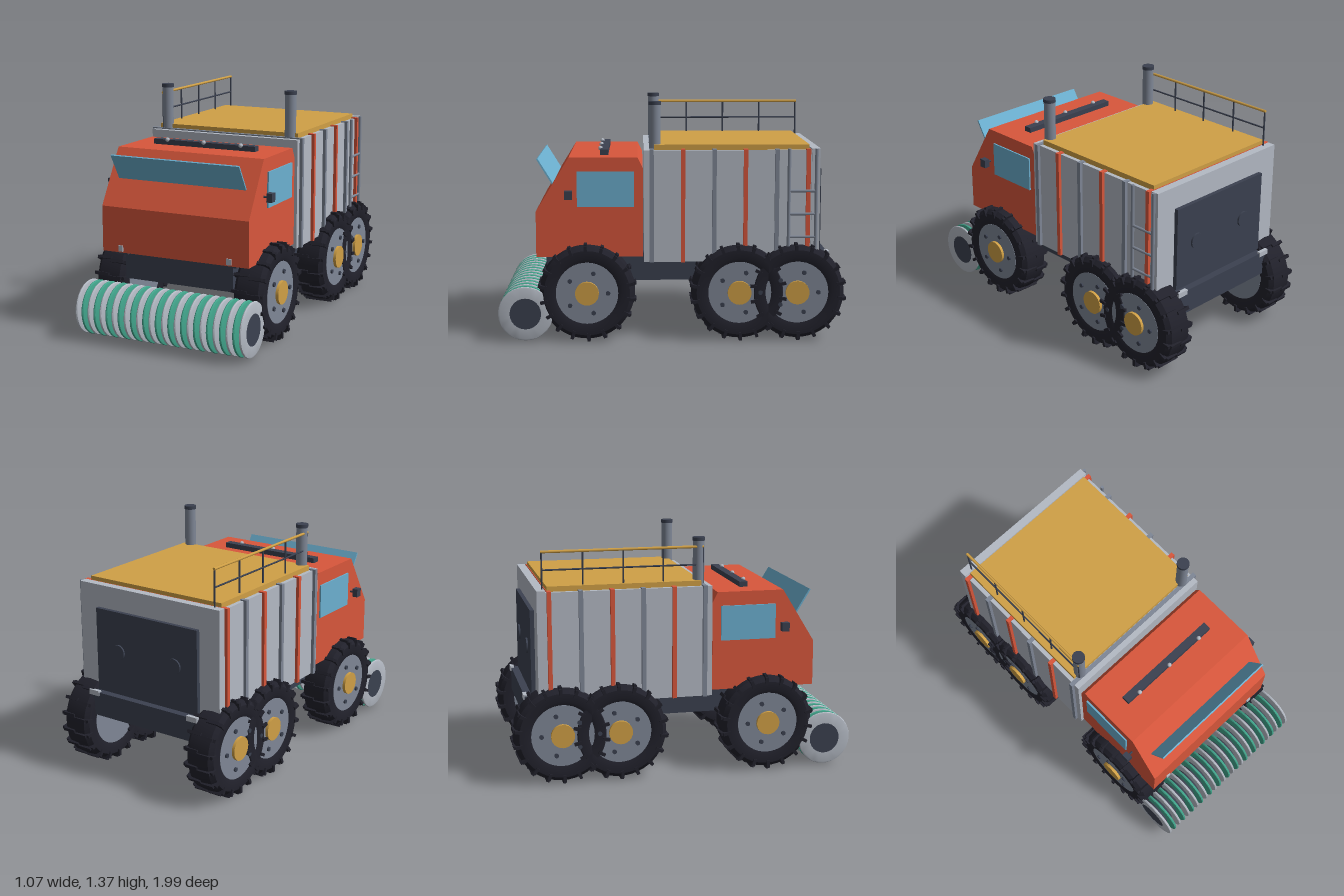
import * as THREE from 'three';
import { toCreasedNormals } from 'three/addons/utils/BufferGeometryUtils.js';

const mat = (name, color) => {
  const m = new THREE.MeshStandardMaterial({ color });
  m.name = name;
  return m;
};

export function createModel() {
  const red = mat('red paint', 0xd9573c);
  const pale = mat('pale grey', 0xb4bac4);
  const slate = mat('slate grey', 0x7f8796);
  const dark = mat('dark steel', 0x3b4150);
  const rubber = mat('rubber', 0x21212b);
  const gold = mat('gold', 0xd0a046);
  const glass = mat('blue glass', 0x6cb0d0);
  const teal = mat('teal', 0x42a58c);

  const root = new THREE.Group();
  root.name = 'truck';

  const add = (name, geo, m, parent = root) => {
    const mesh = new THREE.Mesh(geo, m);
    mesh.name = name;
    parent.add(mesh);
    return mesh;
  };
  // box given by its limits on each axis
  const box = (name, m, x0, x1, y0, y1, z0, z1, parent = root) => {
    const g = new THREE.BoxGeometry(x1 - x0, y1 - y0, z1 - z0);
    g.translate((x0 + x1) / 2, (y0 + y1) / 2, (z0 + z1) / 2);
    return add(name, g, m, parent);
  };
  // cylinder along the x, y or z axis
  const rod = (name, m, r, len, axis, x, y, z, parent = root, seg = 20) => {
    const g = new THREE.CylinderGeometry(r, r, len, seg);
    if (axis === 'x') g.rotateZ(-Math.PI / 2);
    if (axis === 'z') g.rotateX(Math.PI / 2);
    g.translate(x, y, z);
    return add(name, g, m, parent);
  };
  // solid of revolution around x, profile as [radius, x]
  const spin = (pts, seg) => {
    const g = new THREE.LatheGeometry(pts.map(p => new THREE.Vector2(...p)), seg);
    g.rotateZ(-Math.PI / 2);
    return toCreasedNormals(g, 0.6);
  };

  // chassis and bumper
  box('chassis', dark, -0.34, 0.34, 0.327, 0.488, -0.86, 0.73);
  box('rearBumper', dark, -0.38, 0.38, 0.35, 0.49, -0.905, -0.84);
  for (const s of [-1, 1]) {
    box('rearLamp', pale, s * 0.345 - 0.035, s * 0.345 + 0.035, 0.47, 0.5, -0.912, -0.89);
    box('frontLamp', pale, s * 0.341 - 0.014, s * 0.341 + 0.014, 0.495, 0.53, 0.77, 0.787);
    box('lampBracket', dark, s * 0.341 - 0.04, s * 0.341 + 0.04, 0.478, 0.492, 0.735, 0.772);
  }

  // cab, extruded from its side outline
  const outline = [[0.17, 0.488], [0.78, 0.488], [0.78, 0.75], [0.59, 1.06], [0.2, 1.06], [0.17, 1.0]];
  const cab = new THREE.ExtrudeGeometry(new THREE.Shape(outline.map(p => new THREE.Vector2(...p))),
    { depth: 0.92, bevelEnabled: false });
  cab.rotateY(-Math.PI / 2).translate(0.46, 0, 0);
  add('cab', cab, red);

  // upward tilted windscreen panel
  const screen = add('windscreen', new THREE.BoxGeometry(0.8, 0.176, 0.009), glass);
  screen.position.set(0, 0.97, 0.728);
  screen.rotation.x = Math.atan2(0.092, 0.15);

  for (const s of [-1, 1]) {
    box('sideWindow', glass, s * 0.464 - 0.005, s * 0.464 + 0.005, 0.778, 0.98, 0.22, 0.545);
    box('mirror', dark, s * 0.503 - 0.017, s * 0.503 + 0.017, 0.825, 0.875, 0.57, 0.614);
    rod('mirrorArm', dark, 0.006, 0.05, 'x', s * 0.475, 0.85, 0.59);
  }

  // roof light bar
  box('lightBar', dark, -0.325, 0.325, 1.06, 1.09, 0.368, 0.416);
  for (const x of [-0.235, 0, 0.235]) {
    const lamp = add('roofLamp', new THREE.SphereGeometry(0.013, 12, 8), pale);
    lamp.position.set(x, 1.09, 0.415);
  }

  // container with alternating ribs
  box('container', pale, -0.476, 0.476, 0.46, 1.1, -0.8, 0.165);
  for (let i = 0; i < 6; i++) {
    const z = 0.12 - i * 0.178;
    const odd = i % 2 === 1;
    box(odd ? 'redRib' : 'greyRib', odd ? red : slate, -0.494, 0.494, 0.46, 1.107, z - 0.012, z + 0.012);
  }
  box('rearWall', pale, -0.482, 0.482, 0.46, 1.11, -0.838, -0.79);
  box('roofCover', gold, -0.452, 0.452, 1.1, 1.13, -0.778, 0.105);

  // rear door with two round latches
  box('rearDoor', dark, -0.35, 0.35, 0.49, 0.98, -0.862, -0.83);
  for (const s of [-1, 1]) rod('doorLatch', dark, 0.045, 0.02, 'z', s * 0.195, 0.745, -0.862);

  // ladder on the left side
  for (const z of [-0.66, -0.815]) rod('ladderRail', slate, 0.01, 0.64, 'y', 0.492, 0.79, z, root, 10);
  for (let i = 0; i < 4; i++) rod('ladderRung', slate, 0.008, 0.155, 'z', 0.492, 0.473 + i * 0.132, -0.737, root, 8);

  // exhaust stacks
  for (const s of [-1, 1]) {
    rod('exhaust', slate, 0.033, 0.28, 'y', s * 0.403, 1.22, 0.1);
    rod('exhaustCap', dark, 0.036, 0.02, 'y', s * 0.403, 1.363, 0.1);
  }

  // roof railing on the right side
  for (let i = 0; i < 5; i++) rod('railPost', dark, 0.005, 0.21, 'y', -0.425, 1.215, -0.8 + i * 0.23, root, 8);
  rod('midRail', dark, 0.005, 0.92, 'z', -0.425, 1.218, -0.34, root, 8);
  rod('topRail', gold, 0.008, 0.93, 'z', -0.425, 1.32, -0.34, root, 8);

  // wheels, each facing outwards along its local +x
  const tyreGeo = spin([[0.175, -0.08], [0.2, -0.09], [0.245, -0.088], [0.268, -0.065], [0.274, 0],
    [0.268, 0.065], [0.245, 0.088], [0.2, 0.09], [0.175, 0.08], [0.175, -0.08]], 48);
  const makeWheel = (side, z) => {
    const w = new THREE.Group();
    w.name = 'wheel';
    add('tyre', tyreGeo, rubber, w);
    for (let i = 0; i < 18; i++) {
      const a = (i / 18) * Math.PI * 2;
      for (const s of [-1, 1]) {
        // tread bar and its shoulder block
        const lug = box('treadLug', rubber, s * 0.04 - 0.04, s * 0.04 + 0.04, 0.262, 0.283, -0.009, 0.009, w);
        lug.rotation.x = a + s * 0.03;
        const shoulder = box('shoulderLug', rubber, s * 0.085 - 0.012, s * 0.085 + 0.012, 0.23, 0.272, -0.009, 0.009, w);
        shoulder.rotation.x = a + s * 0.03;
      }
    }
    rod('rim', slate, 0.178, 0.166, 'x', 0, 0, 0, w, 40);
    rod('hub', gold, 0.068, 0.03, 'x', 0.085, 0, 0, w, 24);
    for (let i = 0; i < 5; i++) {
      const a = (i / 5) * Math.PI * 2;
      rod('bolt', dark, 0.013, 0.016, 'x', 0.085, 0.12 * Math.sin(a), 0.12 * Math.cos(a) * -side, w, 10);
    }
    w.position.set(side * 0.437, 0.288, z);
    if (side < 0) w.rotation.y = Math.PI;
    root.add(w);
  };
  for (const z of [0.49, -0.38, -0.712]) for (const s of [-1, 1]) makeWheel(s, z);

  // front roller: a dark core carrying alternating rings
  const roller = new THREE.Group();
  roller.name = 'roller';
  roller.position.set(0, 0.169, 0.843);
  root.add(roller);
  rod('rollerCore', dark, 0.09, 1.04, 'x', 0, 0, 0, roller, 24);
  const ringGeo = spin([[0.085, -0.009], [0.146, -0.009], [0.154, -0.006], [0.157, 0],
    [0.154, 0.006], [0.146, 0.009], [0.085, 0.009]], 28);
  for (let i = 0; i < 27; i++) {
    const ring = add(i % 2 ? 'tealRing' : 'greyRing', ringGeo, i % 2 ? teal : pale, roller);
    ring.position.x = (i - 13) * 0.0393;
  }
  return root;
}
